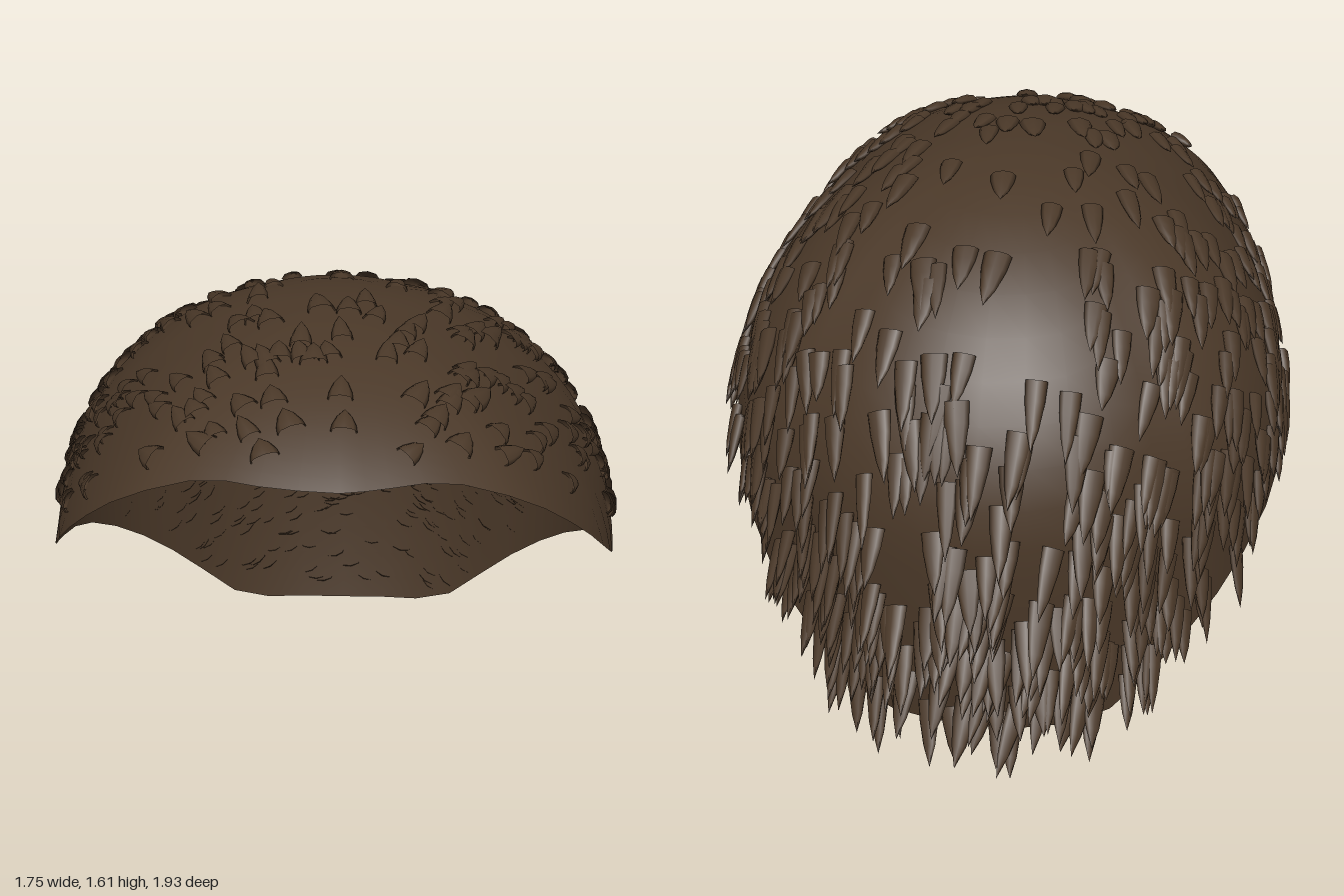
import * as THREE from 'three';
import { ParametricGeometry } from 'three/addons/geometries/ParametricGeometry.js';
import { mergeGeometries } from 'three/addons/utils/BufferGeometryUtils.js';

const MID_Y = 0.75, HEIGHT = 0.855, MID_Z = 0.25;

// Rim of the cap on the +x side, front to back
const HALF_RIM = [
  [0.16, 1.37, 0.97], [0.32, 1.36, 0.91], [0.54, 1.27, 0.84], [0.69, 1.13, 0.71],
  [0.79, 0.97, 0.53], [0.84, 0.83, 0.3], [0.86, 0.74, 0.08], [0.83, 0.65, -0.18],
  [0.72, 0.5, -0.41], [0.56, 0.32, -0.56], [0.36, 0.12, -0.65], [0.13, 0.085, -0.7],
];

function makeRim() {
  const left = HALF_RIM.map(p => new THREE.Vector3(...p));
  const right = left.map(p => new THREE.Vector3(-p.x, p.y, p.z));
  const points = [new THREE.Vector3(0.04, 1.37, 1), ...right, ...left.reverse()];
  return new THREE.CatmullRomCurve3(points, true, 'centripetal');
}
const rim = makeRim();

// Point on the cap: u runs round the rim, v runs from the crown down to the rim
function capPoint(u, v, target) {
  const r = rim.getPoint(((u % 1) + 1) % 1);
  const dx = r.x, dz = r.z - MID_Z, reach = Math.hypot(dx, dz);
  const end = Math.acos((r.y - MID_Y) / HEIGHT);
  const phi = end * v;
  const y = MID_Y + HEIGHT * Math.cos(phi);
  let radius;
  if (end <= Math.PI / 2) {
    radius = reach * Math.sin(phi) / Math.sin(end);
  } else {
    // The back bulges, then tucks in towards the nape
    const back = Math.max(0, -dz / reach);
    const bulge = Math.max(0.865 + 0.16 * back * back, reach);
    radius = y > MID_Y ? bulge * Math.sin(phi)
      : bulge + (reach - bulge) * ((MID_Y - y) / (MID_Y - r.y)) ** 2;
  }
  return target.set(dx / reach * radius, y, MID_Z + dz / reach * radius);
}

function capNormal(u, v) {
  const e = 0.004;
  const at = (a, b) => capPoint(a, b, new THREE.Vector3());
  const du = at(u + e, v).sub(at(u - e, v));
  const dv = at(u, v + e).sub(at(u, v - e));
  return du.cross(dv).normalize();
}

function makeCap() {
  const geometry = new ParametricGeometry(capPoint, 46, 18);
  const pos = geometry.attributes.position, normal = geometry.attributes.normal;
  for (let i = 0; i < pos.count; i++) {
    if (pos.getY(i) > MID_Y + HEIGHT - 1e-5) normal.setXYZ(i, 0, 1, 0);
  }
  return geometry;
}

function seededRandom(seed) {
  return () => {
    seed = (seed * 1664525 + 1013904223) % 4294967296;
    return seed / 4294967296;
  };
}

// Pointed tufts lying back along the cap, longer and bristling at the nape
function makeTufts() {
  const random = seededRandom(11);
  const profile = [[0.5, 0], [0.45, 0.3], [0.28, 0.68], [0, 1]].map(p => new THREE.Vector2(...p));
  const tuft = new THREE.LatheGeometry(profile, 8);
  const tufts = [];
  for (let tries = 0; tries < 6000 && tufts.length < 540; tries++) {
    const u = random(), v = 0.08 + 0.88 * Math.sqrt(random());
    const base = capPoint(u, v, new THREE.Vector3());
    const back = THREE.MathUtils.clamp((0.9 - base.z) / 1.65, 0, 1);
    if (v > 0.9 && (back < 0.75 || random() < 0.6)) continue;
    if (random() > 0.05 + 0.95 * back ** 1.4) continue;

    const normal = capNormal(u, v);
    const low = THREE.MathUtils.clamp((1.2 - base.y) / 0.6, 0, 1);
    const lift = 0.04 + 1.15 * low * Math.max(0, -normal.z);
    const dir = new THREE.Vector3((random() - 0.5) * 0.3, -0.62, -0.78);
    dir.addScaledVector(normal, -dir.dot(normal)).normalize();
    dir.addScaledVector(normal, lift).normalize();
    const length = (0.07 + 0.12 * back) * (0.85 + 0.35 * random());
    const width = 0.06 + 0.022 * random();
    base.addScaledVector(normal, 0.003);
    const tip = base.clone().addScaledVector(dir, length);
    if (tip.y < 0 || tip.z < -1) continue;

    const side = dir.clone().cross(normal).normalize();
    const out = side.clone().cross(dir);
    const matrix = new THREE.Matrix4().makeBasis(
      side.multiplyScalar(width), dir.multiplyScalar(length), out.multiplyScalar(width * 0.5));
    matrix.setPosition(base);
    tufts.push(tuft.clone().applyMatrix4(matrix));
  }
  return mergeGeometries(tufts);
}

export function createModel() {
  const group = new THREE.Group();
  group.name = 'hairCap';
  const brown = new THREE.MeshStandardMaterial({ color: 0x4a3828, side: THREE.DoubleSide });
  brown.name = 'dark brown';

  const cap = new THREE.Mesh(makeCap(), brown);
  cap.name = 'cap';
  const tufts = new THREE.Mesh(makeTufts(), brown);
  tufts.name = 'tufts';
  group.add(cap, tufts);
  return group;
}
